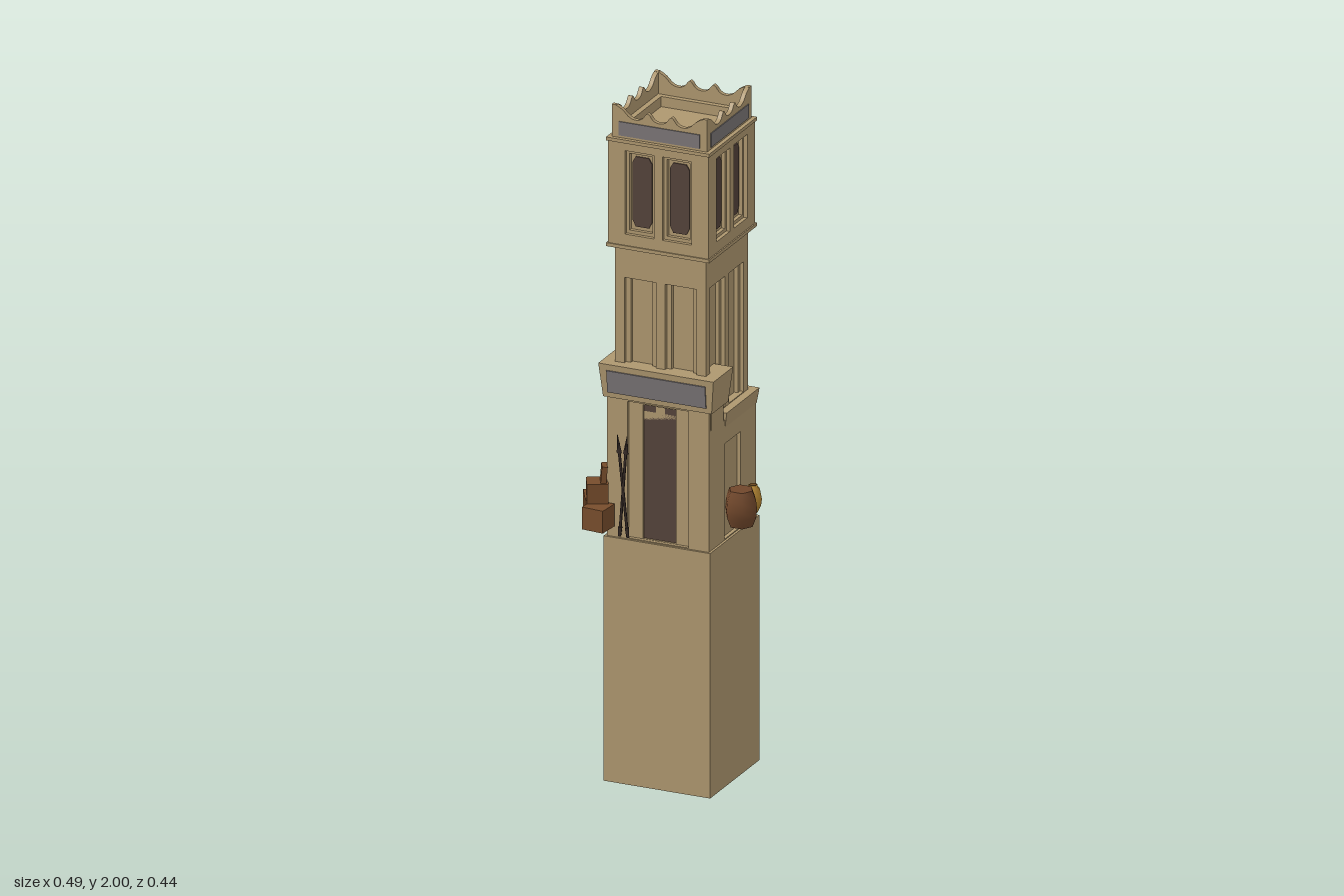
import * as THREE from 'three';

const mat = (name, color, side = THREE.FrontSide) => {
  const m = new THREE.MeshStandardMaterial({ color, side });
  m.name = name;
  return m;
};

export function createModel() {
  const root = new THREE.Group();
  root.name = 'tower';
  const stone = mat('sandstone', 0xae976f);
  const openStone = stone.clone();
  openStone.name = 'sandstone shell';
  openStone.side = THREE.DoubleSide;
  const grey = mat('grey frieze', 0x7a7576);
  const lattice = mat('dark lattice', 0x54433a);
  const wood = mat('crate wood', 0x774d2c);
  const barrelWood = mat('barrel wood', 0x70472b);
  const clay = mat('ochre clay', 0xb0822f);
  const mouth = mat('jar mouth', 0x6b4a22);
  const iron = mat('dark iron', 0x372c28);

  const tower = new THREE.Group();
  tower.name = 'towerBody';
  tower.position.set(0.005, 0, -0.009);
  root.add(tower);

  const add = (parent, name, geo, material, x = 0, y = 0, z = 0) => {
    const m = new THREE.Mesh(geo, material);
    m.name = name;
    m.position.set(x, y, z);
    parent.add(m);
    return m;
  };
  const block = (parent, name, w, y0, y1, d, material, x = 0, z = 0) =>
    add(parent, name, new THREE.BoxGeometry(w, y1 - y0, d), material, x, (y0 + y1) / 2, z);
  // box whose lower rim is drawn in by dx, dz
  const flared = (w, h, d, dx, dz) => {
    const g = new THREE.BoxGeometry(w, h, d);
    const p = g.attributes.position;
    for (let i = 0; i < p.count; i++) {
      if (p.getY(i) > 0) continue;
      p.setX(i, p.getX(i) - Math.sign(p.getX(i)) * dx);
      p.setZ(i, p.getZ(i) - Math.sign(p.getZ(i)) * dz);
    }
    g.computeVertexNormals();
    return g;
  };
  const side = (name, i) => {
    const g = new THREE.Group();
    g.name = name;
    g.rotation.y = i * Math.PI / 2;
    tower.add(g);
    return g;
  };
  const rect = (Kind, x0, y0, x1, y1) => new Kind([
    new THREE.Vector2(x0, y0), new THREE.Vector2(x1, y0),
    new THREE.Vector2(x1, y1), new THREE.Vector2(x0, y1)]);

  // wall made of stacked plates; each layer lists its openings [centre, halfWidth, bottom, top]
  const STEP = 0.011;
  const wall = (parent, half, y0, y1, layers) => layers.forEach((holes, k) => {
    const h = half - k * STEP;
    const s = rect(THREE.Shape, -h, y0, h, y1);
    for (const [c, hw, b, t] of holes) s.holes.push(rect(THREE.Path, c - hw, b, c + hw, t));
    add(parent, 'wallLayer', new THREE.ExtrudeGeometry(s, { depth: STEP, bevelEnabled: false }),
      stone, 0, 0, h - STEP);
  });
  const pair = (c, hw, b, t) => [[-c, hw, b, t], [c, hw, b, t]];

  // hollow plinth, open underneath
  add(tower, 'plinthWalls', new THREE.CylinderGeometry(0.162 * Math.SQRT2, 0.162 * Math.SQRT2, 0.725, 4, 1, true)
    .rotateY(Math.PI / 4).toNonIndexed(), openStone, 0, 0.3625, 0).geometry.computeVertexNormals();
  block(tower, 'plinthTop', 0.324, 0.718, 0.725, 0.324, stone);

  // entrance storey
  block(tower, 'entranceCore', 0.266, 0.725, 1.09, 0.266, stone);
  block(tower, 'porchCore', 0.27, 1.06, 1.14, 0.1, stone, 0, 0.083);
  for (let i = 0; i < 4; i++) {
    const g = side(i ? 'entranceWall' : 'entranceFront', i);
    if (i === 0) {
      wall(g, 0.155, 0.725, 1.14, [[[0, 0.093, 0.728, 1.132]], [[0, 0.05, 0.729, 1.125]]]);
      block(g, 'door', 0.1, 0.728, 1.126, 0.005, lattice, 0, 0.1355);
    } else {
      wall(g, 0.155, 0.725, 1.08, [[[0, 0.053, 0.728, 1.01]], []]);
    }
  }
  block(tower, 'porchSides', 0.31, 1.06, 1.14, 0.09, stone, 0, 0.098);
  // keep the doorway clear: the porch block sits behind its lintel
  tower.children[tower.children.length - 1].scale.z = 0.85;
  add(tower, 'entranceCornice', flared(0.324, 0.045, 0.215, 0.007, 0.004), stone, 0, 1.08, -0.0545);

  // canopy over the door
  const canopy = flared(0.35, 0.1, 0.13, 0.01, 0.01);
  add(tower, 'canopy', canopy, stone, 0, 1.187, 0.104);
  const frieze = add(tower, 'canopyFrieze', new THREE.BoxGeometry(0.3, 0.066, 0.006), grey, 0, 1.186, 0.1645);
  frieze.rotation.x = 0.1;

  // middle shaft
  block(tower, 'shaftCore', 0.232, 1.08, 1.59, 0.232, stone);
  for (let i = 0; i < 4; i++) {
    wall(side('shaftWall', i), 0.138, 1.08, 1.59,
      [pair(0.062, 0.048, 1.105, 1.49), pair(0.062, 0.033, 1.105, 1.49)]);
  }

  // belfry with lattice windows
  block(tower, 'belfryCore', 0.262, 1.59, 1.905, 0.262, stone);
  block(tower, 'belfryLowerLedge', 0.314, 1.582, 1.592, 0.314, stone);
  block(tower, 'belfryUpperLedge', 0.314, 1.895, 1.905, 0.314, stone);
  for (let i = 0; i < 4; i++) {
    const g = side('belfryWall', i);
    wall(g, 0.153, 1.585, 1.904, [pair(0.057, 0.044, 1.625, 1.872), pair(0.057, 0.035, 1.635, 1.862)]);
    for (const x of [-0.057, 0.057]) {
      const s = new THREE.Shape();
      [[-0.03, 1.665], [-0.02, 1.645], [0.02, 1.645], [0.03, 1.665], [0.03, 1.835], [0.02, 1.852],
        [-0.02, 1.852], [-0.03, 1.835]].forEach(([a, b], k) => (k ? s.lineTo(a, b) : s.moveTo(a, b)));
      add(g, 'windowLattice', new THREE.ExtrudeGeometry(s, { depth: 0.004, bevelEnabled: false }),
        lattice, x, 0, 0.1305);
    }
  }

  // scalloped parapet, inner ledge and frieze
  const crest = new THREE.Shape();
  const half = [[0, 1.965], [0.018, 1.97], [0.036, 1.988], [0.054, 1.97], [0.072, 1.964],
    [0.092, 1.97], [0.112, 1.988], [0.13, 1.998], [0.145, 2]];
  crest.moveTo(-0.145, 1.9);
  crest.lineTo(0.145, 1.9);
  crest.lineTo(0.145, 2);
  crest.splineThru([...half.slice(0, -1).reverse(), ...half.slice(1).map(([x, y]) => [-x, y])]
    .map(([x, y]) => new THREE.Vector2(x, y)));
  crest.lineTo(-0.145, 1.9);
  for (let i = 0; i < 4; i++) {
    const g = side('parapet', i);
    add(g, 'crest', new THREE.ExtrudeGeometry(crest, { depth: 0.013, bevelEnabled: false, curveSegments: 32 }),
      stone, 0, 0, 0.132);
    block(g, 'innerLedge', 0.264, 1.9, 1.935, 0.017, stone, 0, 0.1245);
    block(g, 'parapetFrieze', 0.246, 1.912, 1.953, 0.005, grey, 0, 0.1455);
  }

  // crates [x, bottom, z, turn, size]
  [[-0.2, 0.76, 0.108, 0.5, 0.068], [-0.158, 0.76, 0.185, -0.09, 0.066],
    [-0.178, 0.824, 0.15, 0.48, 0.06], [0.02, 0.757, -0.185, -0.22, 0.064]].forEach(([x, y, z, r, s]) => {
    block(root, 'crate', s, y, y + s, s, wood, x, z).rotation.y = r;
  });
  const board = block(root, 'leaningBoard', 0.016, 0.835, 0.932, 0.04, wood, -0.162, 0.145);
  board.rotation.set(0, 0.48, -0.08);

  // six-sided barrel and jar
  const lathe = (pts) => new THREE.LatheGeometry(pts.map(([r, y]) => new THREE.Vector2(r, y)), 6);
  add(root, 'barrel', lathe([[0, 0], [0.035, 0], [0.035, 0], [0.046, 0.028], [0.049, 0.052], [0.046, 0.078],
    [0.035, 0.106], [0.035, 0.106], [0, 0.106]]), barrelWood, 0.19, 0.76, 0).rotation.y = Math.PI / 6;
  add(root, 'jar', lathe([[0, 0], [0.013, 0], [0.024, 0.022], [0.027, 0.043], [0.022, 0.066], [0.014, 0.076],
    [0.014, 0.08], [0, 0.08]]), clay, 0.184, 0.765, -0.092).rotation.y = Math.PI / 6;
  add(root, 'jarMouth', new THREE.CylinderGeometry(0.011, 0.011, 0.004, 6), mouth, 0.184, 0.845, -0.092);

  // crossed spears
  [[-0.08, -0.1], [-0.105, -0.07]].forEach(([x0, x1]) => {
    const a = new THREE.Vector3(x0, 0.735, 0.16);
    const dir = new THREE.Vector3(x1, 1.05, 0.186).sub(a);
    const g = new THREE.Group();
    g.name = 'spear';
    g.position.copy(a);
    g.quaternion.setFromUnitVectors(new THREE.Vector3(0, 1, 0), dir.clone().normalize());
    root.add(g);
    const len = dir.length();
    add(g, 'shaft', new THREE.CylinderGeometry(0.004, 0.004, len - 0.03, 6), iron, 0, len / 2 - 0.015, 0);
    add(g, 'head', new THREE.ConeGeometry(0.008, 0.06, 4), iron, 0, len - 0.03, 0);
    add(g, 'butt', new THREE.CylinderGeometry(0.006, 0.004, 0.03, 6), iron, 0, 0.015, 0);
  });
  return root;
}
